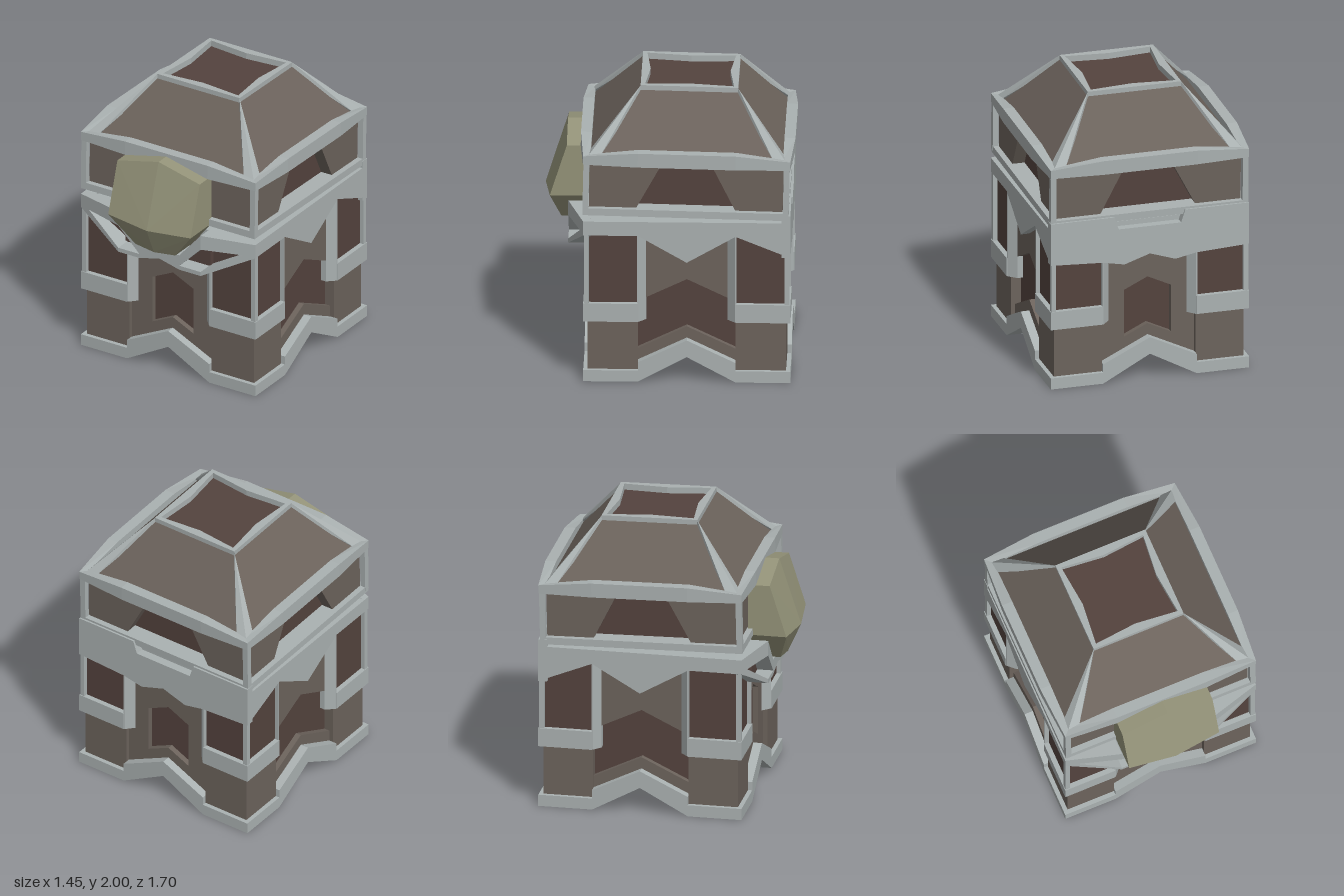
import * as THREE from 'three';
import { ConvexGeometry } from 'three/addons/geometries/ConvexGeometry.js';

const mat = (color) => new THREE.MeshStandardMaterial({ color, flatShading: true, side: THREE.DoubleSide });
const trim = mat(0xaab1b1), wall = mat(0x6c635c), dark = mat(0x54433e), olive = mat(0x949379);

function add(parent, name, geometry, material) {
  const mesh = new THREE.Mesh(geometry, material);
  mesh.name = name;
  parent.add(mesh);
  return mesh;
}

// Box given by its limits on each axis
function box(parent, name, [x0, x1], [y0, y1], [z0, z1], material) {
  const g = new THREE.BoxGeometry(x1 - x0, y1 - y0, z1 - z0);
  g.translate((x0 + x1) / 2, (y0 + y1) / 2, (z0 + z1) / 2);
  return add(parent, name, g, material);
}

// Flat outline extruded from depth d0 to d1
const path = (pts) => pts.map(([x, y]) => new THREE.Vector2(x, y));
function plate(parent, name, pts, d0, d1, material, hole) {
  const shape = new THREE.Shape(path(pts));
  if (hole) shape.holes.push(new THREE.Path(path(hole)));
  const g = new THREE.ExtrudeGeometry(shape, { depth: d1 - d0, bevelEnabled: false });
  g.translate(0, 0, d0);
  return add(parent, name, g, material);
}

const convex = (pts) => new ConvexGeometry(pts.map((p) => new THREE.Vector3(...p)));
const mirrorX = (pts, s) => pts.map(([x, y]) => [x * s, y]);
// Outline of a chevron band of half width w
const chevron = (w, peakLow, peakHigh, slope) => [
  [-w, peakLow - slope * w], [0, peakLow], [w, peakLow - slope * w],
  [w, peakHigh - slope * w], [0, peakHigh], [-w, peakHigh - slope * w]];

function side(parent, name, turn) {
  const g = new THREE.Group();
  g.name = name;
  g.rotation.y = turn * Math.PI / 2;
  parent.add(g);
  return g;
}

function meshGeometry(pos, index) {
  const g = new THREE.BufferGeometry();
  g.setAttribute('position', new THREE.Float32BufferAttribute(pos, 3));
  g.setIndex(index);
  g.computeVertexNormals();
  return g;
}

// Bowed rim: a loop of square sections, higher and further out mid-side
function rimGeometry() {
  const rings = [];
  for (let k = 0; k < 4; k++) {
    const a = k * Math.PI / 2, c = Math.cos(a), s = Math.sin(a);
    const put = (x, z, y) => [x * c + z * s, y, z * c - x * s];
    for (const x of [-0.7, -0.33, 0.33]) {
      const corner = x === -0.7;
      const out = corner ? 0.7 : 0.725, top = corner ? 0.005 : 0.045;
      const ix = corner ? -0.65 : x;
      rings.push([put(ix, 0.65, -0.05), put(x, out, -0.055), put(x, out, top), put(ix, 0.65, top)]);
    }
  }
  const index = [], n = rings.length;
  for (let i = 0; i < n; i++) for (let j = 0; j < 4; j++) {
    const a = i * 4 + j, b = i * 4 + (j + 1) % 4;
    const c = ((i + 1) % n) * 4 + j, d = ((i + 1) % n) * 4 + (j + 1) % 4;
    index.push(a, c, b, b, c, d);
  }
  return meshGeometry(rings.flat(2), index);
}

// Two gabled tunnels crossing under the body, two sloped faces per quarter
function vaultGeometry() {
  const pos = [], index = [], L = 0.66;
  for (const sx of [-1, 1]) for (const sz of [-1, 1]) {
    const n = pos.length / 3;
    pos.push(0, 0.18, 0, sx * L, 0.18, 0, sx * L, 0.003, sz * 0.33,
      sx * 0.33, 0.003, sz * 0.33, sx * 0.33, 0.003, sz * L, 0, 0.18, sz * L);
    for (const [a, b, c] of [[0, 1, 2], [0, 2, 3], [0, 3, 4], [0, 4, 5]])
      index.push(n + a, n + (sx * sz > 0 ? b : c), n + (sx * sz > 0 ? c : b));
  }
  return meshGeometry(pos, index);
}

function buildLower(root) {
  const lower = new THREE.Group();
  lower.name = 'lowerBody';
  lower.position.z = -0.12;
  root.add(lower);
  box(lower, 'core', [-0.6, 0.6], [0.2, 1.1], [-0.6, 0.6], dark);
  box(lower, 'deck', [-0.67, 0.67], [1.08, 1.14], [-0.63, 0.67], trim);
  add(lower, 'vault', vaultGeometry(), wall);

  // Corner towers
  for (const sx of [-1, 1]) for (const sz of [-1, 1]) {
    const span = (a, b, s) => (s > 0 ? [a, b] : [-b, -a]);
    const block = (name, a, b, y, m) => box(lower, name, span(a, b, sx), y, span(a, b, sz), m);
    block('foot', 0.33, 0.7, [0, 0.08], trim);
    block('cornerWall', 0.33, 0.67, [0.06, 0.45], wall);
    block('cornerBand', 0.33, 0.7, [0.43, 0.56], trim);
    block('cornerPanel', 0.32, 0.665, [0.55, 1.1], dark);
    block('cornerPost', 0.662, 0.695, [0.55, 1.14], trim);
  }

  for (let k = 0; k < 4; k++) {
    const f = side(lower, ['frontSide', 'leftSide', 'backSide', 'rightSide'][k], k);
    const flank = k % 2 === 1;
    plate(f, 'baseTrim', [[-0.7, 0], [-0.33, 0], [0, 0.18], [0.33, 0], [0.7, 0], [0.7, 0.08], [0.33, 0.08],
      [0.33, 0.14], [0, 0.3], [-0.33, 0.14], [-0.33, 0.08], [-0.7, 0.08]], 0.6, 0.7, trim);
    plate(f, 'centreWall', [[-0.34, 0.1], [0, 0.26], [0.34, 0.1], [0.34, 1.1], [-0.34, 1.1]],
      0.58, 0.64, wall, chevron(flank ? 0.33 : 0.165, 0.38, 0.72, 0.48));
    // Bevelled posts beside the centre wall
    for (const s of [-1, 1]) {
      const plan = [[0.335, 0.6], [0.275, 0.6], [0.275, 0.64], [0.325, 0.695], [0.335, 0.695]];
      const pts = plan.flatMap(([x, z]) => [[x * s, 0.43, z], [x * s, 1.06, z]]);
      add(f, 'innerPost', convex(pts), trim);
    }
    // Skirts: one dip per flank, lower towards the back
    if (flank) {
      const s = k === 1 ? 1 : -1;
      plate(f, 'sideSkirt', mirrorX([[-0.7, 1.15], [-0.7, 1.05], [-0.33, 1.05], [0, 0.86], [0.33, 1.05],
        [0.7, 0.9], [0.7, 1.15]], s), 0.61, 0.7, trim);
    } else if (k === 2) {
      plate(f, 'backSkirt', [[-0.7, 1.2], [-0.7, 0.9], [-0.33, 0.88], [-0.18, 0.85], [0, 0.91], [0.18, 0.85],
        [0.33, 0.88], [0.7, 0.9], [0.7, 1.2], [0.25, 1.2], [0.22, 1.11], [-0.22, 1.11], [-0.25, 1.2]], 0.64, 0.7, trim);
    } else {
      // Collar with slanted windows, swelling forward to the middle
      for (const s of [-1, 1]) {
        const wing = [[0.33, 1.165], [0.7, 1.15], [0.7, 1.05], [0.33, 0.86], [0.33, 0.89], [0.62, 1.06], [0.33, 1.06]];
        const chin = [[0.33, 1.165], [0.33, 1.06], [0.16, 0.89], [0.33, 0.89], [0.33, 0.86], [0.16, 0.86],
          [0, 0.9], [0, 0.96], [0.16, 0.97]];
        for (const pts of [wing, chin]) {
          const m = plate(f, 'collar', mirrorX(pts, s), 0.65, 0.7, trim), q = m.geometry.attributes.position;
          for (let i = 0; i < q.count; i++) if (q.getZ(i) > 0.68)
            q.setZ(i, 0.7 + 0.11 * Math.min(1, (0.7 - Math.abs(q.getX(i))) / 0.37));
          m.geometry.computeVertexNormals();
        }
        plate(f, 'windowBacking', mirrorX([[0.14, 0.88], [0.34, 0.88], [0.34, 1.08]], s), 0.63, 0.7, dark);
      }
    }
  }
}

function buildUpper(root) {
  const upper = new THREE.Group();
  upper.name = 'upperBody';
  upper.position.set(0, 1.6, -0.12);
  upper.rotation.x = -0.022;
  root.add(upper);
  box(upper, 'upperCore', [-0.57, 0.57], [-0.4, -0.03], [-0.57, 0.57], dark);
  box(upper, 'lowerRail', [-0.695, 0.695], [-0.42, -0.37], [-0.695, 0.695], trim);
  add(upper, 'rim', rimGeometry(), trim);

  // Walls, with tapered alcoves on the flanks and back
  const alcove = [[-0.335, -0.372], [0.335, -0.372], [0.17, -0.055], [-0.17, -0.055]];
  for (let k = 0; k < 4; k++)
    plate(side(upper, 'upperSide', k), 'upperWall', [[-0.655, -0.4], [0.655, -0.4], [0.655, -0.02], [-0.655, -0.02]],
      0.57, 0.655, wall, k > 0 && alcove);

  // Roof
  const roof = new THREE.CylinderGeometry(0.322 * Math.SQRT2, 0.655 * Math.SQRT2, 0.38, 4, 1, true);
  roof.rotateY(Math.PI / 4).translate(0, 0.178, 0);
  add(upper, 'roofPanels', roof, wall);
  const frame = plate(upper, 'roofFrame', [[-0.33, -0.33], [0.33, -0.33], [0.33, 0.33], [-0.33, 0.33]], 0.345, 0.393, trim,
    [[-0.3, -0.3], [0, -0.27], [0.3, -0.3], [0.27, 0], [0.3, 0.3], [0, 0.27], [-0.3, 0.3], [-0.27, 0]]);
  frame.geometry.rotateX(-Math.PI / 2);
  box(upper, 'roofHatch', [-0.305, 0.305], [0.33, 0.35], [-0.305, 0.305], dark);

  // Ridges widening towards the eaves, and corner posts
  for (const sx of [-1, 1]) for (const sz of [-1, 1]) {
    const pts = [[0.33, 0.39, 0.33], [0.31, 0.34, 0.31], [0.665, 0, 0.665], [0.585, 0, 0.665],
      [0.665, 0, 0.585], [0.58, 0, 0.58]];
    add(upper, 'roofRidge', convex(pts.map(([x, y, z]) => [x * sx, y, z * sz])), trim);
    const post = new THREE.BoxGeometry(0.04, 0.38, 0.04).translate(sx * 0.677, -0.21, sz * 0.677);
    add(upper, 'upperPost', post, trim);
  }
}

export function createModel() {
  const root = new THREE.Group();
  root.name = 'armouredTower';
  buildLower(root);
  buildUpper(root);

  // Faceted visor on the front
  const half = [[0.33, 1.56, 0.55], [0.33, 1.56, 0.7], [0.33, 1.2, 0.55], [0.33, 1.2, 0.815],
    [0.16, 0.99, 0.55], [0.16, 0.99, 0.74]];
  const pts = [[0, 1.64, 0.55], [0, 1.64, 0.7], [0, 1.18, 0.85], [0, 0.965, 0.69], [0, 0.98, 0.76], [0, 0.965, 0.55]];
  for (const [x, y, z] of half) pts.push([x, y, z], [-x, y, z]);
  add(root, 'visor', convex(pts), olive);
  return root;
}
